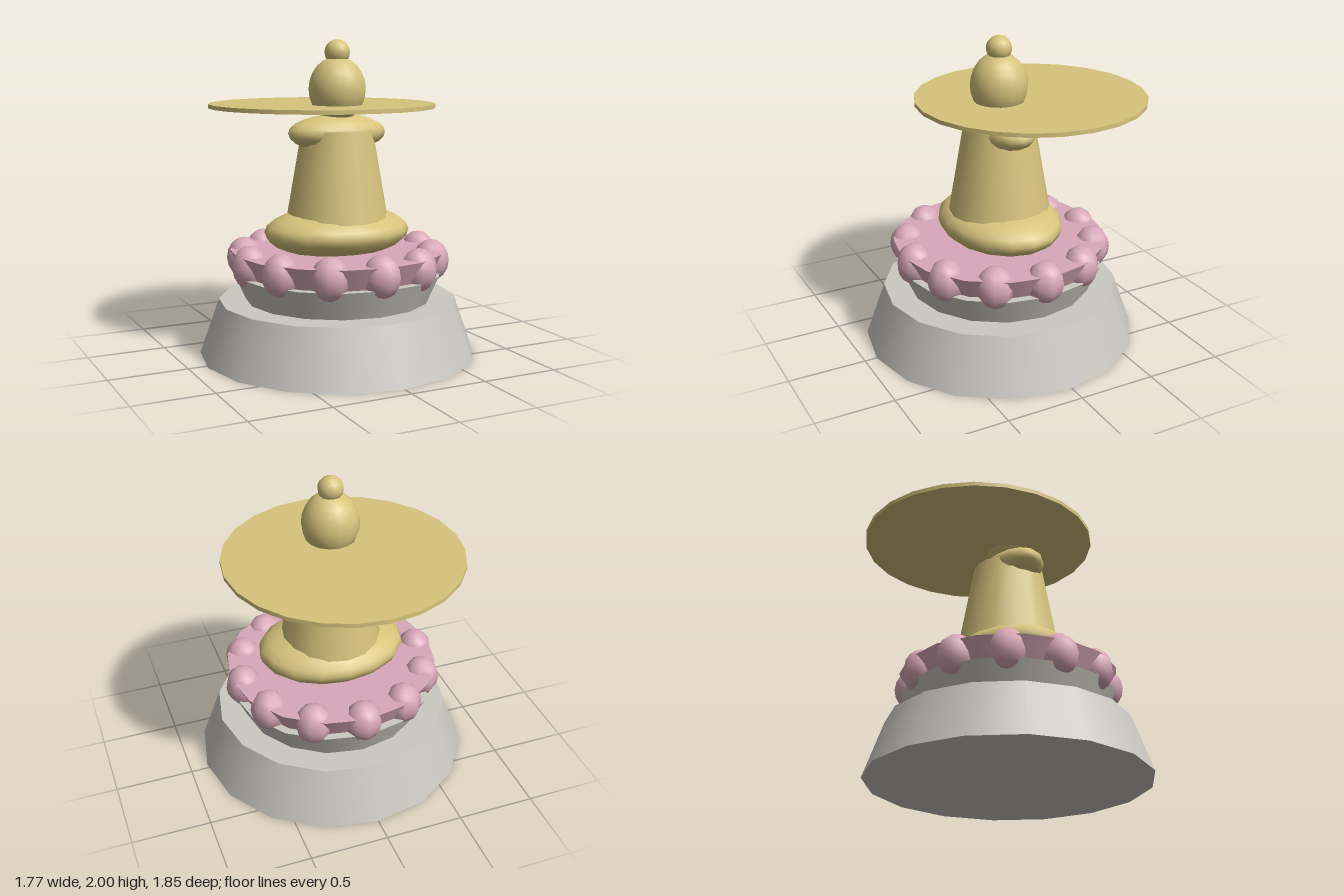
import * as THREE from 'three';

const CENTER_Z = 0.035;

const material = (name, color) => {
  const m = new THREE.MeshStandardMaterial({ color });
  m.name = name;
  return m;
};

export function createModel() {
  const stone = material('stone grey', 0xcac8c1);
  const pink = material('lotus pink', 0xd8a8b9);
  const gold = material('pale gold', 0xd6c37c);

  const group = new THREE.Group();
  group.name = 'seatedStatue';

  const add = (name, geometry, mat, x, y, z) => {
    const mesh = new THREE.Mesh(geometry, mat);
    mesh.name = name;
    mesh.position.set(x, y, z);
    group.add(mesh);
    return mesh;
  };

  // Tapered drum standing between two heights
  const drum = (name, mat, rTop, rBottom, y0, y1, sides = 16, z = CENTER_Z) =>
    add(name, new THREE.CylinderGeometry(rTop, rBottom, y1 - y0, sides), mat, 0, (y0 + y1) / 2, z);

  // Ellipsoid with its three radii
  const ellipsoid = (name, mat, rx, ry, rz, x, y, z, w = 16, h = 12) =>
    add(name, new THREE.SphereGeometry(1, w, h).scale(rx, ry, rz), mat, x, y, z);

  // Pedestal
  drum('pedestalBase', stone, 0.76, 0.885, 0, 0.355);
  drum('pedestalBowl', stone, 0.67, 0.59, 0.355, 0.535);

  // Lotus seat with a ring of petals
  drum('lotusSeat', pink, 0.685, 0.6, 0.5, 0.675);
  const petals = 12;
  for (let i = 0; i < petals; i++) {
    const a = (i / petals) * Math.PI * 2;
    const petal = ellipsoid('lotusPetal', pink, 0.12, 0.135, 0.115,
      Math.sin(a) * 0.6, 0.605, CENTER_Z + Math.cos(a) * 0.6, 8, 8);
    petal.rotation.y = a;
  }

  // Seated figure
  ellipsoid('crossedLegs', gold, 0.48, 0.16, 0.377, 0, 0.79, CENTER_Z);
  drum('torso', gold, 0.225, 0.338, 0.79, 1.435);
  ellipsoid('shoulders', gold, 0.332, 0.118, 0.185, 0, 1.417, CENTER_Z);
  ellipsoid('head', gold, 0.18, 0.205, 0.18, 0, 1.69, CENTER_Z);
  ellipsoid('topKnot', gold, 0.08, 0.08, 0.08, 0, 1.92, CENTER_Z, 12, 10);

  // Flat halo disc, set towards the back
  drum('halo', gold, 0.735, 0.735, 1.565, 1.591, 24, -0.19);

  return group;
}
